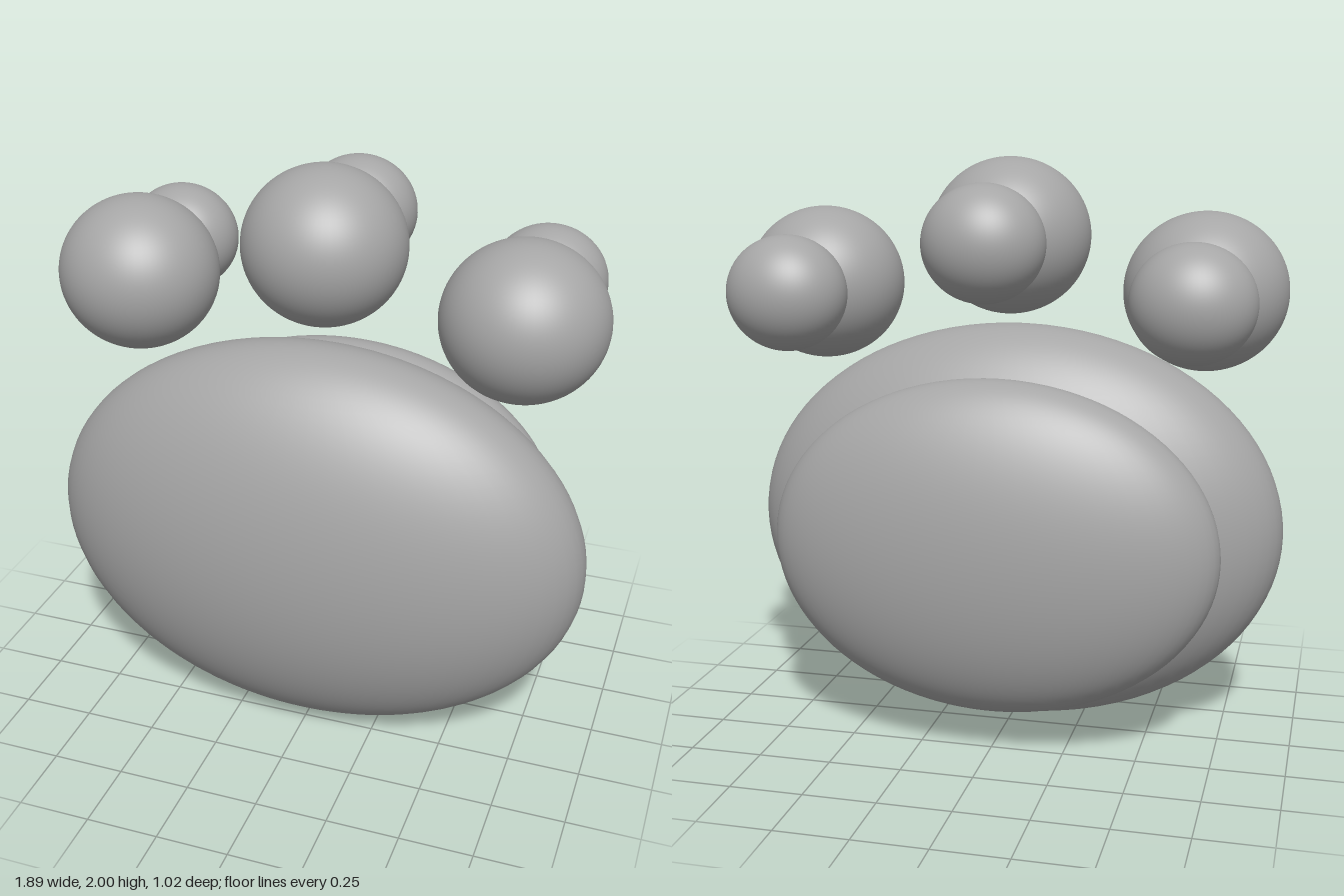
import * as THREE from 'three';

export function createModel() {
  const group = new THREE.Group();
  const grey = new THREE.MeshStandardMaterial({ color: 0xa6a6a6 });
  grey.name = 'grey';
  const ball = new THREE.SphereGeometry(1, 64, 48);

  // A smooth ellipsoid given by its centre and its three radii
  function ellipsoid(name, centre, radii) {
    const mesh = new THREE.Mesh(ball, grey);
    mesh.name = name;
    mesh.position.set(...centre);
    mesh.scale.set(...radii);
    group.add(mesh);
  }

  // Main pad with a smaller pad sunk into its back
  ellipsoid('frontPad', [0, 0.715, 0.13], [0.943, 0.711, 0.38]);
  ellipsoid('backPad', [0, 0.715, -0.235], [0.765, 0.575, 0.257]);

  // Three toes, each a large ball with a smaller one behind it
  const toes = [['right', -0.664, 1.565], ['middle', 0, 1.737], ['left', 0.664, 1.565]];
  for (const [side, x, y] of toes) {
    ellipsoid(side + 'FrontToe', [x, y, 0.033], [0.273, 0.263, 0.267]);
    ellipsoid(side + 'BackToe', [x, y, -0.336], [0.2, 0.19, 0.176]);
  }
  return group;
}
